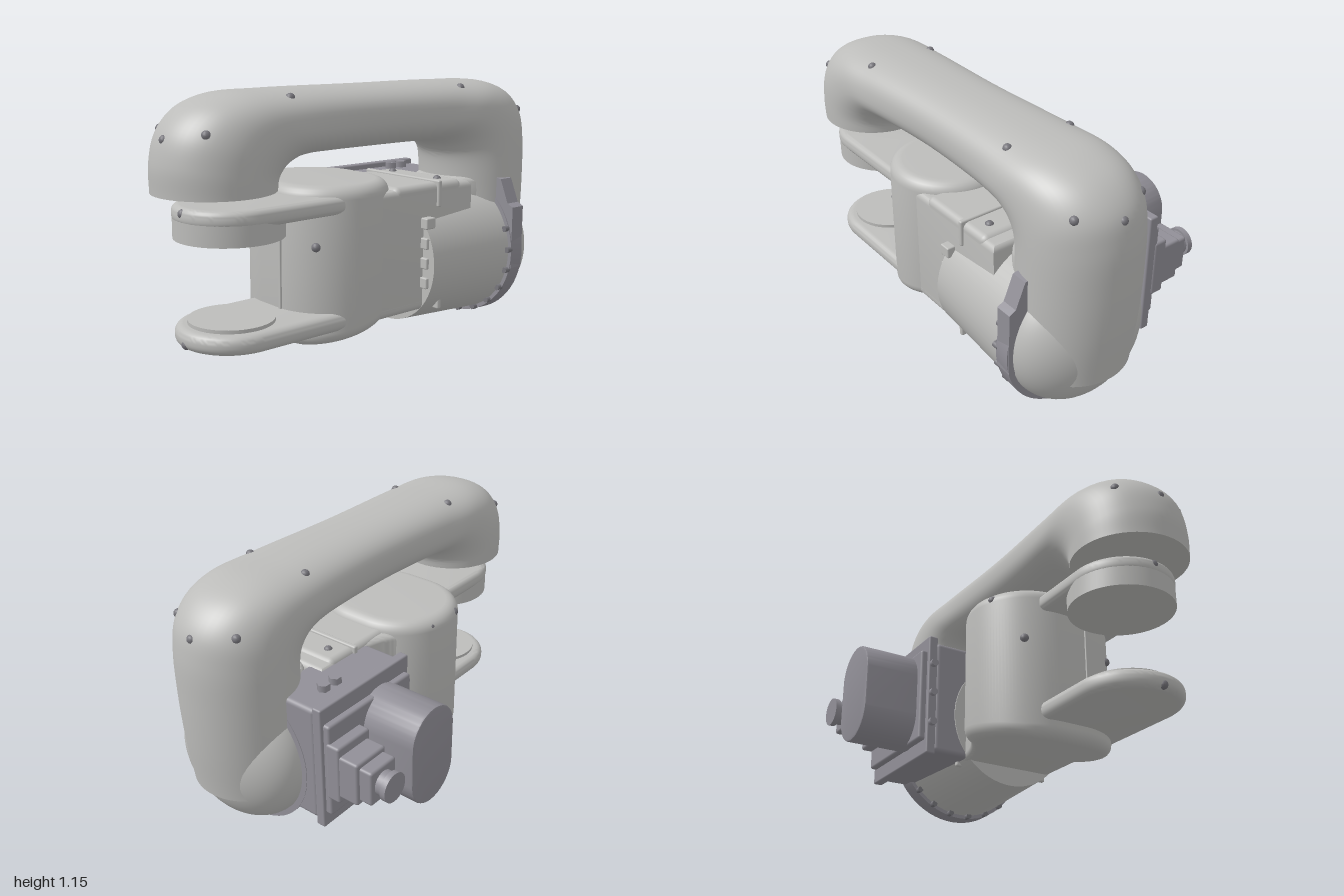
import * as THREE from 'three';
import { toCreasedNormals } from 'three/addons/utils/BufferGeometryUtils.js';
import { RoundedBoxGeometry } from 'three/addons/geometries/RoundedBoxGeometry.js';

const CX = 0.195; // centre line of the arm
const AXIS_Y = 0.35; // height of the rear joint axis

export function createModel() {
  const root = new THREE.Group();
  const mat = (name, color) => {
    const m = new THREE.MeshStandardMaterial({ color });
    m.name = name;
    return m;
  };
  const light = mat('light grey casing', 0xbcbcba);
  const dark = mat('dark grey metal', 0x918f97);
  const screw = mat('screw grey', 0x77767c);

  function add(name, geo, material, x = 0, y = 0, z = 0) {
    const mesh = new THREE.Mesh(geo, material);
    mesh.name = name;
    mesh.position.set(x, y, z);
    root.add(mesh);
    return mesh;
  }
  // box from its limits
  function box(name, m, x0, x1, y0, y1, z0, z1, r = 0.012) {
    const g = new RoundedBoxGeometry(x1 - x0, y1 - y0, z1 - z0, 3, r);
    return add(name, g, m, (x0 + x1) / 2, (y0 + y1) / 2, (z0 + z1) / 2);
  }
  // plan outline (x, -z) raised from y0 to y1 with rounded edges
  function slab(shape, y0, y1, bevel) {
    const g = new THREE.ExtrudeGeometry(shape, {
      depth: y1 - y0 - 2 * bevel, bevelEnabled: true, bevelSize: bevel,
      bevelThickness: bevel, bevelOffset: -bevel, bevelSegments: 6, curveSegments: 28,
    });
    g.rotateX(-Math.PI / 2);
    g.translate(0, y0 + bevel, 0);
    return g;
  }
  // strip with a round front end
  function tongue(xc, r, zFront, zBack) {
    const s = new THREE.Shape();
    s.moveTo(xc - r, -zBack);
    s.lineTo(xc - r, -(zFront - r));
    s.absarc(xc, -(zFront - r), r, Math.PI, 2 * Math.PI, false);
    s.lineTo(xc + r, -zBack);
    s.closePath();
    return s;
  }
  const smooth = (g, a = 0.6) => toCreasedNormals(g, a);

  // ---- arched cable duct: [outer z, outer y, inner z, inner y, half width, roundness]
  const stations = [
    [1.0, 0.76, 0.5, 0.76, 0.25, 2], [1.0, 0.88, 0.495, 0.79, 0.252, 2],
    [0.965, 1.0, 0.47, 0.83, 0.252, 2.1], [0.88, 1.09, 0.42, 0.862, 0.248, 2.25],
    [0.74, 1.14, 0.35, 0.877, 0.242, 2.4], [0.5, 1.15, 0.22, 0.88, 0.228, 2.5],
    [0, 1.15, 0, 0.88, 0.215, 2.5],
    [-0.5, 1.15, -0.24, 0.88, 0.228, 2.5], [-0.74, 1.14, -0.35, 0.877, 0.242, 2.4],
    [-0.88, 1.09, -0.42, 0.862, 0.248, 2.25], [-0.965, 1.0, -0.465, 0.83, 0.252, 2.1],
    [-0.995, 0.88, -0.49, 0.78, 0.254, 2], [-1.0, 0.68, -0.5, 0.66, 0.254, 2],
    [-0.99, 0.45, -0.5, 0.45, 0.252, 2], [-0.965, 0.23, -0.5, 0.23, 0.245, 2],
  ];
  function loft(list, steps, sides) {
    const outer = new THREE.CatmullRomCurve3(list.map(s => new THREE.Vector3(s[4], s[1], s[0])));
    const inner = new THREE.CatmullRomCurve3(list.map(s => new THREE.Vector3(s[5], s[3], s[2])));
    const pos = [], index = [];
    const bend = (v, e) => Math.sign(v) * Math.pow(Math.abs(v), 2 / e);
    for (let i = 0; i <= steps; i++) {
      const o = outer.getPoint(i / steps), n = inner.getPoint(i / steps);
      for (let j = 0; j < sides; j++) {
        const t = (j / sides) * Math.PI * 2;
        const c = bend(Math.cos(t), n.x), s = bend(Math.sin(t), n.x);
        pos.push(CX + o.x * s, (o.y + n.y) / 2 + (o.y - n.y) / 2 * c, (o.z + n.z) / 2 + (o.z - n.z) / 2 * c);
        if (i < steps) {
          const a = i * sides + j, b = i * sides + (j + 1) % sides;
          index.push(a, b, a + sides, b, b + sides, a + sides);
        }
      }
    }
    for (let j = 1; j < sides - 1; j++) { // end caps
      const e = steps * sides;
      index.push(0, j + 1, j, e, e + j, e + j + 1);
    }
    const g = new THREE.BufferGeometry();
    g.setAttribute('position', new THREE.Float32BufferAttribute(pos, 3));
    g.setIndex(index);
    return smooth(g);
  }
  add('cableDuct', loft(stations, 98, 56), light);

  // ---- front column with a sloping belly
  const plan = new THREE.Shape();
  plan.absarc(0.06, -0.16, 0.27, Math.PI / 2, Math.PI * 1.5, false);
  plan.absarc(0.175, -0.16, 0.27, -Math.PI / 2, Math.PI / 2, false);
  const column = slab(plan, 0.06, 0.75, 0.055);
  const p = column.attributes.position;
  for (let i = 0; i < p.count; i++) {
    if (p.getY(i) < 0.3) p.setY(i, p.getY(i) + Math.max(0, 0.38 - p.getZ(i)) * 0.2);
  }
  add('column', smooth(column), light);
  box('columnRib', light, 0.188, 0.202, 0.2, 0.6, 0.41, 0.437, 0.003);

  // ---- neck flowing from the column to the rear housing
  const neck = new THREE.Shape();
  neck.moveTo(-0.17, -0.04);
  neck.quadraticCurveTo(-0.05, 0.08, -0.04, 0.24);
  neck.lineTo(-0.04, 0.5);
  neck.lineTo(0.425, 0.5);
  neck.lineTo(0.425, -0.1);
  neck.closePath();
  add('neck', smooth(slab(neck, 0.14, 0.7, 0.03)), light);

  // ---- upper and lower fork plates with round pads
  add('upperPlate', smooth(slab(tongue(CX, 0.228, 0.91, 0.2), 0.635, 0.71, 0.03)), light);
  add('upperPad', smooth(new THREE.CylinderGeometry(0.226, 0.226, 0.1, 56)), light, CX, 0.62, 0.682);
  add('lowerPlate', smooth(slab(tongue(CX, 0.23, 0.91, -0.42), 0.137, 0.217, 0.035)), light);
  add('lowerPad', smooth(new THREE.CylinderGeometry(0.18, 0.18, 0.03, 48)), light, CX, 0.217, 0.68);
  box('rearDeck', light, -0.035, 0.425, 0.62, 0.712, -0.44, -0.02, 0.03);

  // ---- cable straps around the neck
  box('upperStrap', light, -0.045, 0.437, 0.6, 0.722, -0.295, -0.272, 0.008);
  box('lowerStrap', light, -0.045, 0.445, 0.13, 0.24, -0.295, -0.272, 0.008);

  // ---- round rear housing, flange and dome cover, all along z
  const barrel = (r0, r1, len) => smooth(new THREE.CylinderGeometry(r0, r1, len, 64).rotateX(Math.PI / 2));
  add('rearHousing', barrel(0.3, 0.328, 0.48), light, CX, AXIS_Y, -0.43);
  add('flange', barrel(0.345, 0.348, 0.075), dark, CX, AXIS_Y, -0.7);
  add('flangeTop', smooth(slab(tongue(CX, 0.2, -0.45, -0.73), 0.5, 0.7, 0.03)), light);
  const lug = new THREE.Shape();
  lug.moveTo(0.4, 0.7);
  lug.lineTo(0.46, 0.69);
  lug.lineTo(0.505, 0.58);
  lug.lineTo(0.536, 0.565);
  lug.lineTo(0.536, 0.275);
  lug.lineTo(0.505, 0.265);
  lug.lineTo(0.46, 0.2);
  lug.lineTo(0.4, 0.2);
  lug.closePath();
  add('flangeLug', new THREE.ExtrudeGeometry(lug, { depth: 0.075, bevelEnabled: false }), dark, 0, 0, -0.742);
  const dome = new THREE.SphereGeometry(0.322, 56, 20, 0, Math.PI * 2, 0, Math.PI / 2);
  dome.rotateX(-Math.PI / 2);
  dome.scale(1, 1, 0.68);
  add('domeCover', dome, light, CX, AXIS_Y, -0.735);
  for (let i = 0; i < 10; i++) {
    const a = -Math.PI * 0.75 + i * 0.3;
    const b = new THREE.CylinderGeometry(0.014, 0.014, 0.03, 10).rotateX(Math.PI / 2);
    add('flangeBolt', b, screw, CX + 0.334 * Math.cos(a), AXIS_Y + 0.334 * Math.sin(a), -0.655);
  }
  for (const y of [0.27, 0.36, 0.45, 0.54]) {
    box('housingClip', light, 0.41, 0.462, y - 0.025, y + 0.025, -0.23, -0.175, 0.006);
  }

  // ---- side gearbox, motor and plug
  box('gearboxBase', dark, -0.205, 0.05, 0.15, 0.69, -0.735, -0.195, 0.02);
  box('gearboxPlate', dark, -0.25, -0.205, 0.132, 0.712, -0.745, -0.185, 0.008);
  box('gearboxCover', dark, -0.28, -0.24, 0.2, 0.64, -0.73, -0.205, 0.012);
  for (const y of [0.28, 0.425, 0.57]) {
    add('gearboxBolt', new THREE.CylinderGeometry(0.018, 0.018, 0.03, 16).rotateX(Math.PI / 2), dark, -0.228, y, -0.178);
  }
  for (const z of [-0.59, -0.52]) {
    add('topBolt', new THREE.CylinderGeometry(0.028, 0.028, 0.03, 6), dark, -0.13, 0.705, z);
  }
  const stadium = new THREE.Shape();
  stadium.absarc(0, 0.115, 0.14, 0, Math.PI, false);
  stadium.absarc(0, -0.065, 0.14, Math.PI, Math.PI * 2, false);
  const motor = new THREE.ExtrudeGeometry(stadium, {
    depth: 0.27, bevelSize: 0.008, bevelThickness: 0.008, bevelOffset: -0.008, bevelSegments: 2, curveSegments: 24,
  });
  motor.rotateY(-Math.PI / 2);
  add('motor', smooth(motor), dark, -0.255, 0.4, -0.38);
  box('plugBase', dark, -0.33, -0.26, 0.29, 0.56, -0.735, -0.54);
  box('plugBody', dark, -0.42, -0.31, 0.32, 0.52, -0.73, -0.55);
  box('plugHead', dark, -0.48, -0.41, 0.34, 0.5, -0.715, -0.56);
  const tube = (r, l) => smooth(new THREE.CylinderGeometry(r, r, l, 28).rotateZ(Math.PI / 2));
  add('plugNeck', tube(0.055, 0.06), dark, -0.5, 0.42, -0.64);
  add('plugCap', tube(0.066, 0.025), dark, -0.525, 0.42, -0.64);

  // ---- sunken screws
  const dot = (x, y, z) => add('screw', new THREE.SphereGeometry(0.02, 12, 8), screw, x, y, z);
  for (const s of [-1, 1]) {
    dot(CX, 0.975, s * 0.965);
    for (const side of [-1, 1]) {
      dot(CX + side * 0.165, 1.0, s * 0.885);
      dot(CX + side * 0.155, 1.118, s * 0.49);
    }
  }
  dot(-0.09, 0.5, 0.38);
  dot(0.35, 0.5, 0.362);
  dot(-0.175, 0.71, 0.08);
  dot(-0.175, 0.71, 0.26);
  for (const y of [0.685, 0.16]) dot(CX, y, 0.895);
  for (const x of [0.05, 0.34]) dot(x, 0.706, -0.36);
  return root;
}
